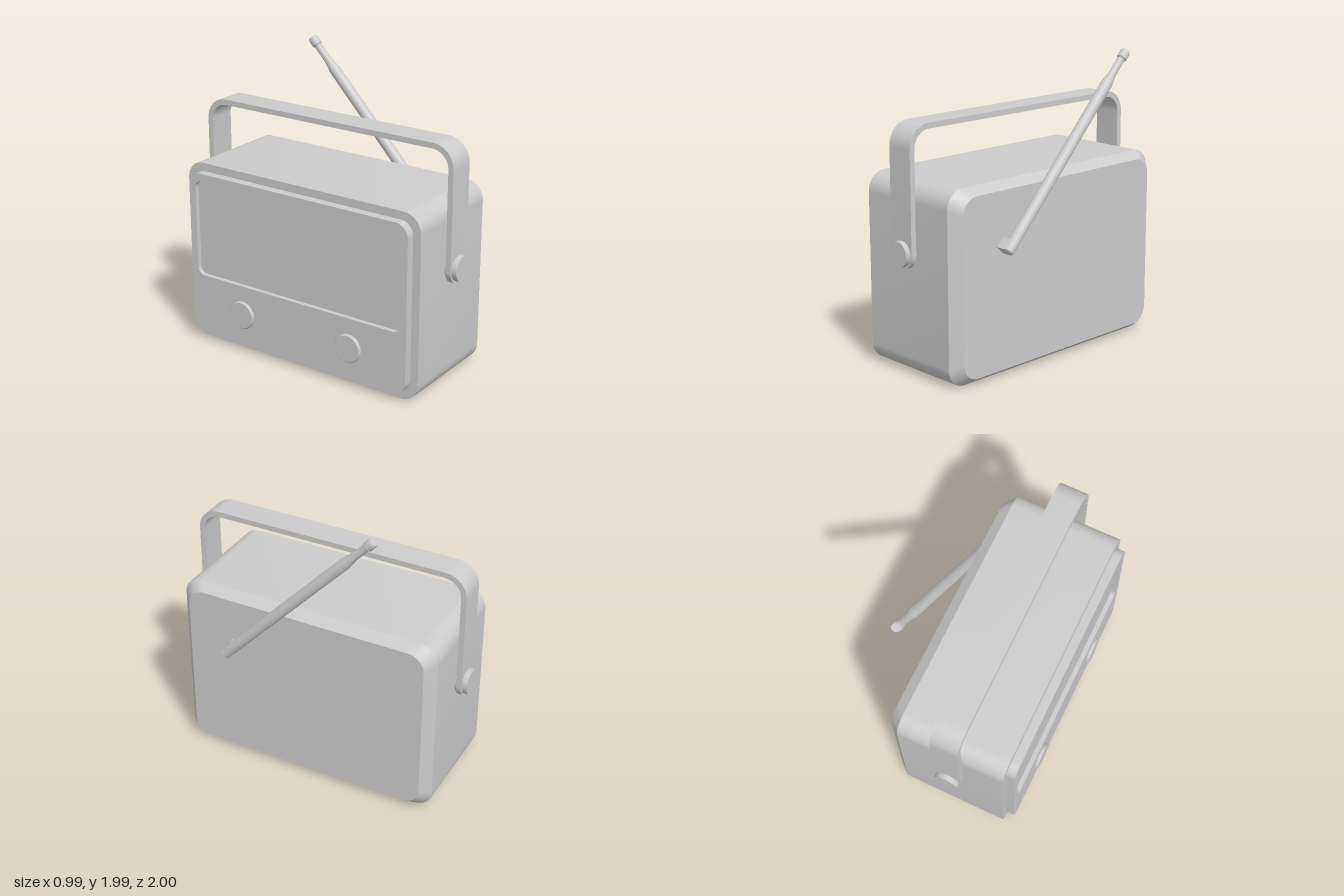
import * as THREE from 'three';
import { toCreasedNormals } from 'three/addons/utils/BufferGeometryUtils.js';

const material = new THREE.MeshStandardMaterial({ color: 0xcccccc });

function add(parent, name, geometry) {
  const mesh = new THREE.Mesh(toCreasedNormals(geometry, 0.5), material);
  mesh.name = name;
  parent.add(mesh);
  return mesh;
}

// Rounded rectangle traced counter-clockwise
function roundedRect(x0, x1, y0, y1, r, path = new THREE.Shape()) {
  path.absarc(x1 - r, y0 + r, r, -Math.PI / 2, 0);
  path.absarc(x1 - r, y1 - r, r, 0, Math.PI / 2);
  path.absarc(x0 + r, y1 - r, r, Math.PI / 2, Math.PI);
  path.absarc(x0 + r, y0 + r, r, Math.PI, Math.PI * 1.5);
  path.closePath();
  return path;
}

// Extrude an outline in the (-z, y) plane along +x, starting at x0
function extrudeX(shape, x0, depth, steps = 1, curveSegments = 6) {
  return new THREE.ExtrudeGeometry(shape, { depth, steps, curveSegments, bevelEnabled: false })
    .rotateY(Math.PI / 2).translate(x0, 0, 0);
}

export function createModel() {
  const radio = new THREE.Group();
  radio.name = 'portableRadio';

  // Case: the last part of the extrusion narrows into a chamfer
  const body = extrudeX(roundedRect(-0.915, 0.915, 0, 1.26, 0.125), -0.42, 0.81, 2);
  const p = body.attributes.position;
  for (let i = 0; i < p.count; i++) {
    if (p.getX(i) > 0.3) {
      p.setY(i, 0.63 + (p.getY(i) - 0.63) * 0.925);
      p.setZ(i, p.getZ(i) * 0.93);
    } else if (p.getX(i) > -0.3) p.setX(i, 0.32);
  }
  add(radio, 'case', body);

  // Face panel with a recessed speaker area
  const face = roundedRect(-0.86, 0.86, 0.06, 1.205, 0.09);
  face.holes.push(roundedRect(-0.81, 0.81, 0.48, 1.15, 0.05, new THREE.Path()));
  add(radio, 'facePanel', extrudeX(face, -0.48, 0.06));
  add(radio, 'speakerPanel', new THREE.BoxGeometry(0.03, 0.69, 1.64).translate(-0.433, 0.815, 0));

  // Control knobs
  for (const z of [-0.43, 0.43]) {
    const profile = [[0, 0], [0.097, 0], [0.097, 0.033], [0.09, 0.04], [0, 0.04]]
      .map(([r, y]) => new THREE.Vector2(r, y));
    const knob = add(radio, 'knob', new THREE.LatheGeometry(profile, 32));
    knob.rotation.z = Math.PI / 2;
    knob.position.set(-0.46, 0.275, z);
  }

  // Carrying handle: a U-shaped strap with round ends
  const handle = new THREE.Group();
  handle.name = 'handle';
  radio.add(handle);
  const strap = new THREE.Shape();
  strap.moveTo(0.928, 0.81);
  strap.lineTo(0.965, 0.81);
  strap.absarc(0.815, 1.475, 0.15, 0, Math.PI / 2);
  strap.absarc(-0.815, 1.475, 0.15, Math.PI / 2, Math.PI);
  strap.lineTo(-0.965, 0.81);
  strap.lineTo(-0.928, 0.81);
  strap.absarc(-0.81, 1.47, 0.118, Math.PI, Math.PI / 2, true);
  strap.absarc(0.81, 1.47, 0.118, Math.PI / 2, 0, true);
  strap.closePath();
  add(handle, 'strap', extrudeX(strap, -0.145, 0.19, 1, 5));
  for (const side of [-1, 1]) {
    const end = add(handle, 'strapEnd', new THREE.CylinderGeometry(0.095, 0.095, 0.037, 24));
    end.rotation.x = Math.PI / 2;
    end.position.set(-0.05, 0.805, side * 0.9465);
    const pivot = add(handle, 'pivot', new THREE.CylinderGeometry(0.085, 0.085, 0.09, 28));
    pivot.rotation.x = Math.PI / 2;
    pivot.position.set(-0.05, 0.81, side * 0.955);
  }

  // Telescopic antenna, tilted towards -z
  const antenna = new THREE.Group();
  antenna.name = 'antenna';
  antenna.position.set(0.456, 0.835, 0.545);
  antenna.rotation.x = -0.756;
  radio.add(antenna);
  const rod = [[0, 0], [0.03, 0], [0.038, 0.008], [0.038, 1.295], [0.034, 1.32], [0.026, 1.37],
    [0.025, 1.495], [0.034, 1.505], [0.034, 1.55], [0.028, 1.564], [0, 1.564]];
  add(antenna, 'rod', new THREE.LatheGeometry(rod.map(([r, y]) => new THREE.Vector2(r, y)), 20));
  add(antenna, 'mount', new THREE.BoxGeometry(0.1, 0.08, 0.076).translate(-0.046, 0.042, 0));

  return radio;
}
